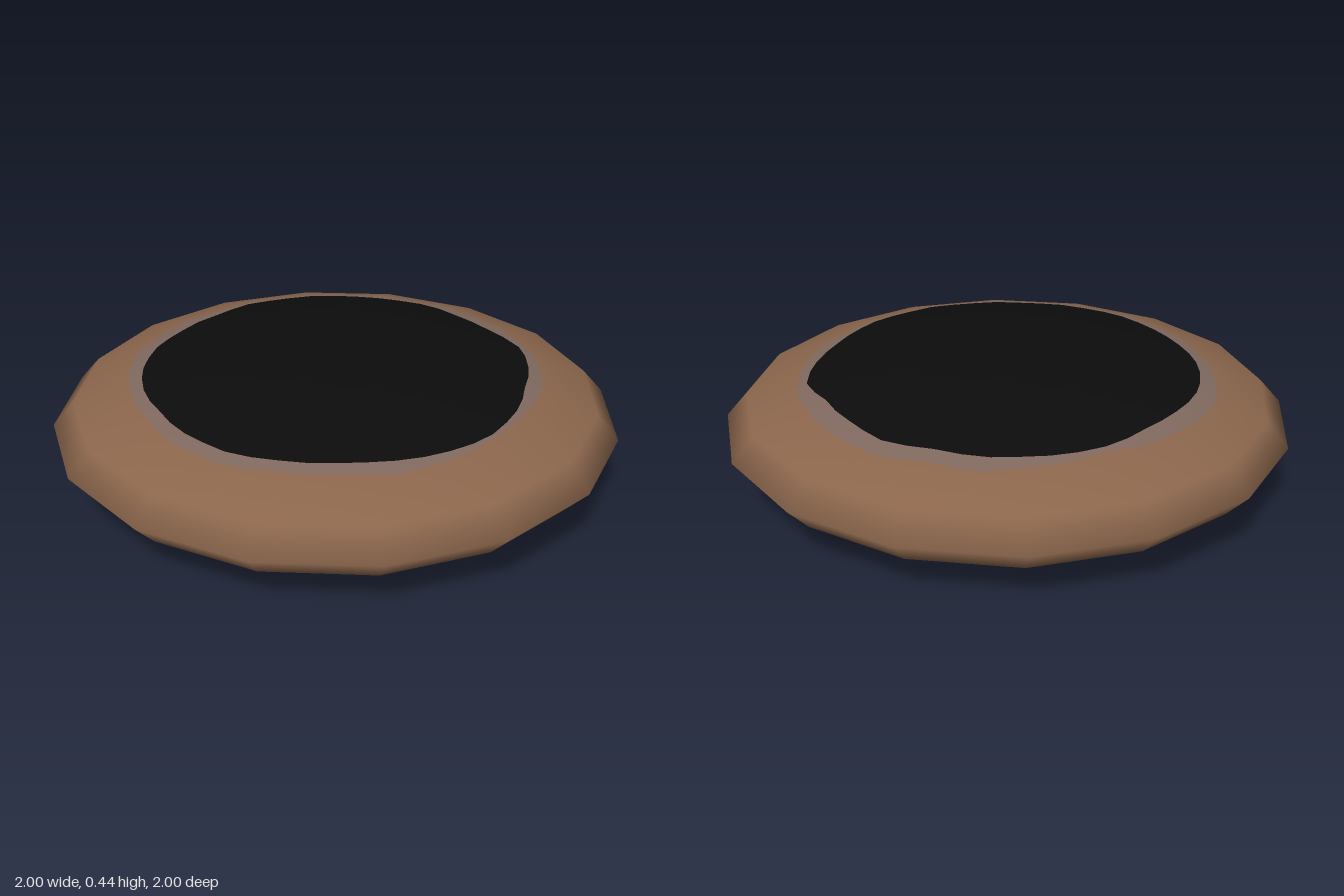
import * as THREE from 'three';

const SIDES = 16, STEPS = 48;   // coarse outline, finer steps for the painted edges
const HALF = 0.222;             // half height of the squashed sphere
const LEVELS = [0, 1, 2, 3, 4].map(k => Math.sin(k * Math.PI / 8));

// Uneven outline radii, one every 15 degrees from +x towards +z
const PUPIL = [.67, .685, .70, .70, .688, .68, .687, .695, .685, .673, .68, .683,
  .68, .668, .667, .692, .692, .692, .68, .695, .672, .668, .705, .687];
const RIM = [.727, .71, .713, .728, .738, .727, .735, .743, .735, .722, .722, .735,
  .747, .74, .732, .712, .728, .75, .74, .755, .745, .738, .738, .73];

const angle = i => (i / STEPS) * Math.PI * 2;

// Distance to a 16-sided unit polygon in the given direction
function polygon(i) {
  const half = Math.PI / SIDES;
  return Math.cos(half) / Math.cos((angle(i) % (2 * half)) - half);
}

// Outline radius as a fraction of the polygon
function outline(table, i) {
  const n = table.length, k = (i % STEPS) / 2, a = Math.floor(k);
  const r = THREE.MathUtils.lerp(table[a % n], table[(a + 1) % n], k - a);
  return r / polygon(i);
}

// Height of the faceted dome at fraction t
function domeHeight(t) {
  let k = 0;
  while (k < 3 && t > LEVELS[k + 1]) k++;
  const s = (t - LEVELS[k]) / (LEVELS[k + 1] - LEVELS[k]);
  return HALF * THREE.MathUtils.lerp(Math.cos(k * Math.PI / 8), Math.cos((k + 1) * Math.PI / 8), s);
}

// Smooth band through rings; each ring is [fraction at step i, +1 top / -1 bottom]
function band(rings) {
  const pos = [], nor = [], idx = [], row = STEPS + 1;
  rings.forEach(([ringAt, side], j) => {
    for (let i = 0; i <= STEPS; i++) {
      const t = ringAt(i % STEPS), r = t * polygon(i % STEPS);
      const x = r * Math.cos(angle(i)), z = r * Math.sin(angle(i)), y = side * domeHeight(t);
      const n = new THREE.Vector3(x, y / (HALF * HALF), z).normalize();
      pos.push(x, y, z);
      nor.push(n.x, n.y, n.z);
      if (j && i < STEPS) {
        const a = (j - 1) * row + i, b = j * row + i;
        idx.push(a, b + 1, b, a, a + 1, b + 1);
      }
    }
  });
  const g = new THREE.BufferGeometry();
  g.setAttribute('position', new THREE.Float32BufferAttribute(pos, 3));
  g.setAttribute('normal', new THREE.Float32BufferAttribute(nor, 3));
  g.setIndex(idx);
  return g;
}

export function createModel() {
  const group = new THREE.Group();
  group.name = 'flattenedEye';
  const flat = t => () => t;
  const pupilEdge = i => outline(PUPIL, i);
  const rimEdge = i => outline(RIM, i);

  const add = (name, color, rings) => {
    const material = new THREE.MeshStandardMaterial({ color });
    material.name = name + 'Colour';
    const mesh = new THREE.Mesh(band(rings), material);
    mesh.name = name;
    mesh.position.y = HALF;
    group.add(mesh);
  };

  // Black centre following the top of the dome
  add('pupil', 0x0c0c0c, [
    [flat(0), 1], [flat(LEVELS[1]), 1],
    [i => Math.min(LEVELS[2], pupilEdge(i)), 1], [pupilEdge, 1],
  ]);
  // Thin grey ring around it
  add('rim', 0x80695f, [
    [pupilEdge, 1],
    [i => Math.max(pupilEdge(i), Math.min(LEVELS[2], rimEdge(i))), 1],
    [rimEdge, 1],
  ]);
  // Brown outer slope and underside
  add('body', 0x8b664c, [
    [rimEdge, 1], [flat(LEVELS[3]), 1], [flat(1), 1],
    ...[3, 2, 1, 0].map(k => [flat(LEVELS[k]), -1]),
  ]);
  return group;
}
